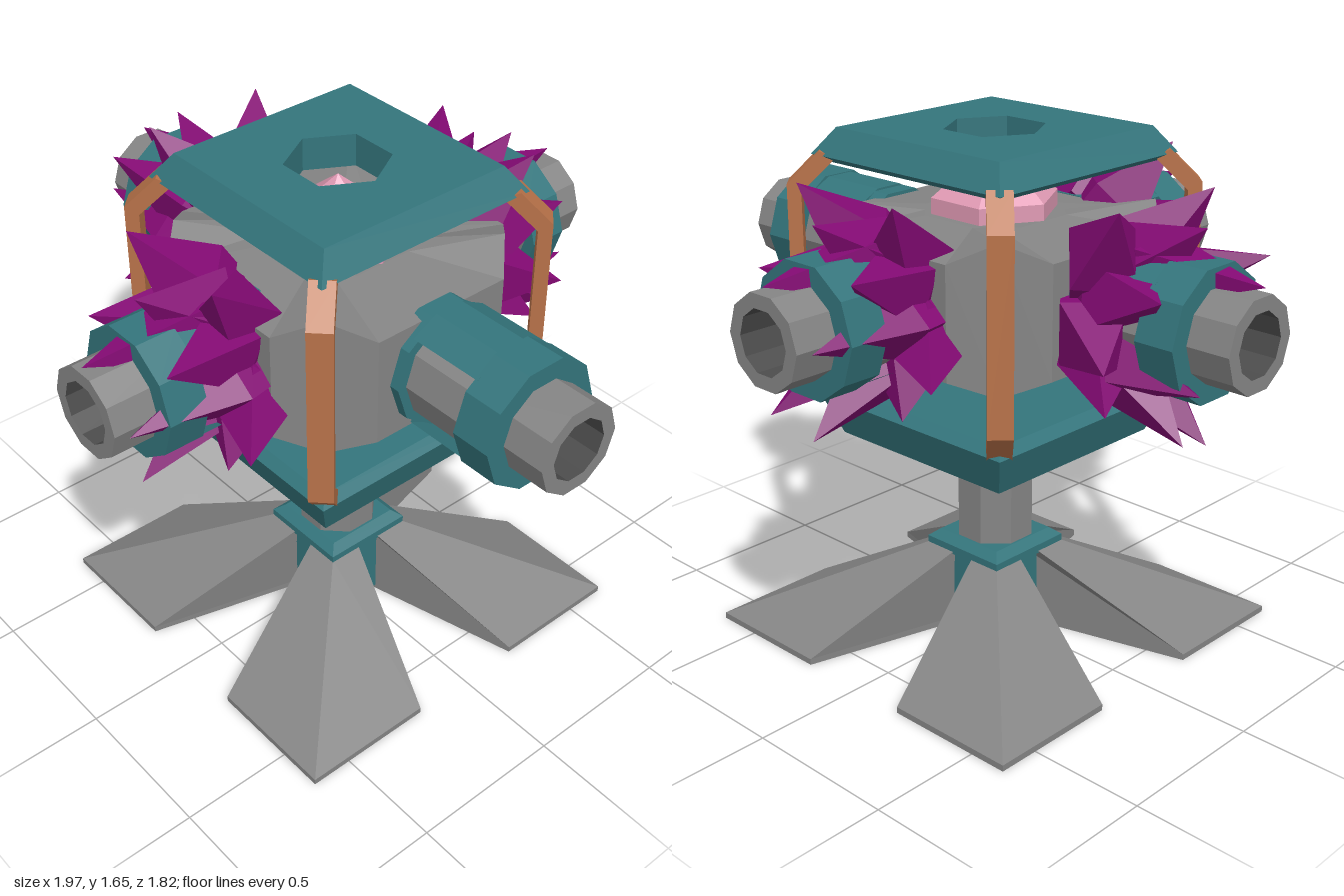
import * as THREE from 'three';

const mat = (name, color, side = THREE.FrontSide) => {
  const m = new THREE.MeshStandardMaterial({ color, flatShading: true, side });
  m.name = name;
  return m;
};

// Skin a stack of rings (each a list of [x, y, z], anticlockwise from above)
function loft(rings, caps = true) {
  const pos = [];
  const tri = (a, b, c) => pos.push(...a, ...b, ...c);
  const n = rings[0].length;
  for (let k = 0; k + 1 < rings.length; k++) {
    for (let i = 0; i < n; i++) {
      const j = (i + 1) % n, lo = rings[k], hi = rings[k + 1];
      tri(lo[i], lo[j], hi[i]);
      tri(lo[j], hi[j], hi[i]);
    }
  }
  if (caps) {
    const lo = rings[0], hi = rings[rings.length - 1];
    for (let i = 1; i + 1 < n; i++) {
      tri(lo[0], lo[i + 1], lo[i]);
      tri(hi[0], hi[i], hi[i + 1]);
    }
  }
  const g = new THREE.BufferGeometry();
  g.setAttribute('position', new THREE.Float32BufferAttribute(pos, 3));
  g.computeVertexNormals();
  return g;
}
const square = (r, y) => [[-r, y, r], [r, y, r], [r, y, -r], [-r, y, -r]];
const squares = (list, caps) => loft(list.map(([r, y]) => square(r, y)), caps);
const points = (list) => list.map(([x, y]) => new THREE.Vector2(x, y));

// Eight-sided hub ring with an extra point in the middle of each diagonal side
function hubRing(w, c, yEnd, yDiagonal) {
  const m = (w + c) / 2;
  const side = [[-c, yEnd, w], [c, yEnd, w], [m, yDiagonal, m]];
  const ring = [];
  for (let k = 0; k < 4; k++) {
    for (const [x, y, z] of side) {
      ring.push([[x, y, z], [z, y, -x], [-x, y, -z], [-z, y, x]][k]);
    }
  }
  return ring;
}

// Turned part lying along z; profile is [radius, distance along the arm]
function turned(profile, sides = 10, start = Math.PI / 10, sweep = Math.PI * 2) {
  return new THREE.LatheGeometry(points(profile), sides, start, sweep).rotateX(Math.PI / 2);
}

export function createModel() {
  const teal = mat('teal paint', 0x34757c, THREE.DoubleSide);
  const gray = mat('gray metal', 0x858585);
  const dark = mat('dark metal', 0x4c4c4c);
  const copper = mat('copper', 0xb87249);
  const purple = mat('purple crystal', 0x840a74);
  const pink = mat('pink crystal', 0xe09ab4);

  const model = new THREE.Group();
  model.name = 'crystalStation';
  const root = new THREE.Group();
  root.name = 'station';
  root.position.x = 0.0125;
  model.add(root);
  const add = (name, geo, m, parent = root) => {
    const mesh = new THREE.Mesh(geo, m);
    mesh.name = name;
    parent.add(mesh);
    return mesh;
  };

  // Four splayed feet, hollow underneath, and four corner struts
  const kite = (inner, side, out, y) => [[inner, y, inner], [side, y, out], [out, y, out], [out, y, side]];
  const footGeo = loft([
    kite(0.06, 0.07, 0.14, 0.23), kite(0.055, 0.21, 0.61, 0),
    kite(0.04, 0.2, 0.637, 0), kite(0.04, 0.2, 0.637, 0.02), kite(0.04, 0.04, 0.15, 0.28),
  ]);
  const strutShape = new THREE.Shape(points([
    [0.5, 0.78], [0.625, 0.9], [0.625, 1.49], [0.525, 1.59],
    [0.475, 1.57], [0.582, 1.465], [0.582, 0.92], [0.46, 0.81],
  ]));
  const strutGeo = new THREE.ExtrudeGeometry(strutShape, { depth: 0.075, bevelEnabled: false })
    .translate(0, 0, -0.0375).rotateY(Math.PI / 4);
  for (let i = 0; i < 4; i++) {
    add('foot', footGeo, gray).rotation.y = i * Math.PI / 2;
    add('cornerStrut', strutGeo, copper).rotation.y = i * Math.PI / 2;
  }

  // Pedestal: crossed bars fill the gaps between the feet
  for (const turn of [0, Math.PI / 2]) {
    add('pedestalBar', new THREE.BoxGeometry(0.09, 0.24, 0.29).translate(0, 0.16, 0), teal).rotation.y = turn;
  }
  add('pedestalSole', new THREE.BoxGeometry(0.088, 0.04, 0.088).translate(0, 0.02, 0), dark);
  add('lowerCollar', squares([[0.155, 0.27], [0.155, 0.3], [0.125, 0.325]]), teal);
  add('column', new THREE.CylinderGeometry(0.128, 0.128, 0.26, 8).rotateY(Math.PI / 8).translate(0, 0.44, 0), gray);
  add('upperCollar', squares([[0.125, 0.55], [0.155, 0.575], [0.155, 0.61]]), teal);
  add('lowerBowl', squares([[0.23, 0.6], [0.34, 0.67], [0.39, 0.8], [0.36, 0.83]]), teal);

  // Roof plate with a six-sided opening
  const hexR = 0.16;
  add('roofSides', squares([[0.35, 1.55], [0.39, 1.575], [0.335, 1.655]], false), teal);
  for (const [r, y, dir] of [[0.335, 1.655, -1], [0.35, 1.55, 1]]) {
    const face = new THREE.Shape(points([[-r, -r], [r, -r], [r, r], [-r, r]]));
    const hole = Array.from({ length: 6 }, (_, i) =>
      new THREE.Vector2(Math.cos(i * Math.PI / 3) * hexR, Math.sin(i * Math.PI / 3) * hexR));
    face.holes.push(new THREE.Path(hole));
    add('roofFace', new THREE.ShapeGeometry(face).rotateX(dir * Math.PI / 2).translate(0, y, 0), teal);
  }
  add('roofOpening', new THREE.CylinderGeometry(hexR, hexR, 0.105, 6, 1, true)
    .rotateY(Math.PI / 6).translate(0, 1.6025, 0), teal);

  // Central hub, taller at its diagonals, and the crystal through it
  add('hub', loft([
    hubRing(0.2, 0.1, 1.0, 1.0),
    hubRing(0.452, 0.24, 1.02, 0.97),
    hubRing(0.452, 0.24, 1.37, 1.43),
    hubRing(0.2, 0.1, 1.4, 1.4),
  ]), gray);
  const core = points([[0, 0.86], [0.2, 0.975], [0.2, 1.45], [0, 1.61]]);
  add('coreCrystal', new THREE.LatheGeometry(core, 6, Math.PI / 6), pink);

  // Docking arms; x arms sit further out than z arms
  const tube = (inner, outer, a, b) => [[inner, a], [outer, a], [outer, b], [inner, b], [inner, a]];
  const flangeGeo = turned(tube(0.1, 0.195, 0.34, 0.41));
  const sleeveGeo = turned(tube(0.1, 0.165, 0.36, 0.65));
  const ringGeo = turned(tube(0.135, 0.205, 0.64, 0.77));
  const pipeGeo = turned([[0.143, 0.62], [0.143, 0.91], [0.098, 0.91]]);
  const boreGeo = turned([[0.098, 0.91], [0.098, 0.66]]);
  const floorGeo = turned([[0.1, 0.66], [0, 0.66]]);
  const bandGeos = [0, Math.PI].map((mid) => turned(tube(0.14, 0.198, 0.4, 0.65), 3, mid - 0.74, 1.48));

  // Crystal tips as [sideways, up, along the arm, thickness]
  const tips = [
    [-0.22, 0.35, 0.59, 0.14], [0.19, 0.35, 0.6, 0.13], [-0.33, -0.07, 0.64, 0.14],
    [0.33, -0.15, 0.6, 0.14], [0, -0.34, 0.75, 0.14], [-0.15, -0.29, 0.78, 0.13],
    [0, 0.29, 0.72, 0.14], [0.01, 0.16, 0.91, 0.12], [0.17, 0.0, 0.88, 0.11],
    [0.22, 0.18, 0.78, 0.13], [-0.22, 0.13, 0.74, 0.14], [0.18, -0.28, 0.57, 0.14],
    [-0.15, -0.13, 0.83, 0.11], [-0.27, -0.22, 0.6, 0.13],
  ];
  const up = new THREE.Vector3(0, 1, 0);
  function spike([s, y, a, r], i) {
    const base = a > 0.8 ? new THREE.Vector3(s * 0.8, y * 0.8, 0.42) : new THREE.Vector3(s * 0.3, y * 0.3, 0.4);
    const dir = new THREE.Vector3(s, y, a).sub(base);
    const len = dir.length();
    const g = new THREE.LatheGeometry(points([[0, 0], [r * 0.9, 0.01], [r, len * 0.25], [0, len]]), 4, i * 0.8);
    g.applyQuaternion(new THREE.Quaternion().setFromUnitVectors(up, dir.normalize()));
    return g.translate(base.x, base.y, base.z);
  }
  const spikeGeos = tips.map(spike);
  const plugGeo = turned([[0.09, 0.65], [0, 0.83]], 5);

  const arms = [['frontArm', 0, 0, true], ['leftArm', 1, 0.075, false], ['backArm', 2, 0, true], ['rightArm', 3, 0.075, true]];
  for (const [name, turn, offset, overgrown] of arms) {
    const arm = new THREE.Group();
    arm.name = name;
    arm.position.y = 1.2;
    arm.rotation.y = turn * Math.PI / 2;
    const inner = new THREE.Group();
    inner.name = name + 'Parts';
    inner.position.z = offset;
    arm.add(inner);
    root.add(arm);
    add('armFlange', flangeGeo, teal, inner);
    add('armSleeve', sleeveGeo, gray, inner);
    add('armRing', ringGeo, teal, inner);
    add('dockingPipe', pipeGeo, gray, inner);
    add('pipeBore', boreGeo, dark, inner);
    add('pipeFloor', floorGeo, gray, inner);
    bandGeos.forEach((g) => add('armBand', g, teal, inner));
    if (overgrown) {
      spikeGeos.forEach((g) => add('crystalSpike', g, purple, inner));
      add('pipeCrystal', plugGeo, purple, inner);
    }
  }
  return model;
}
